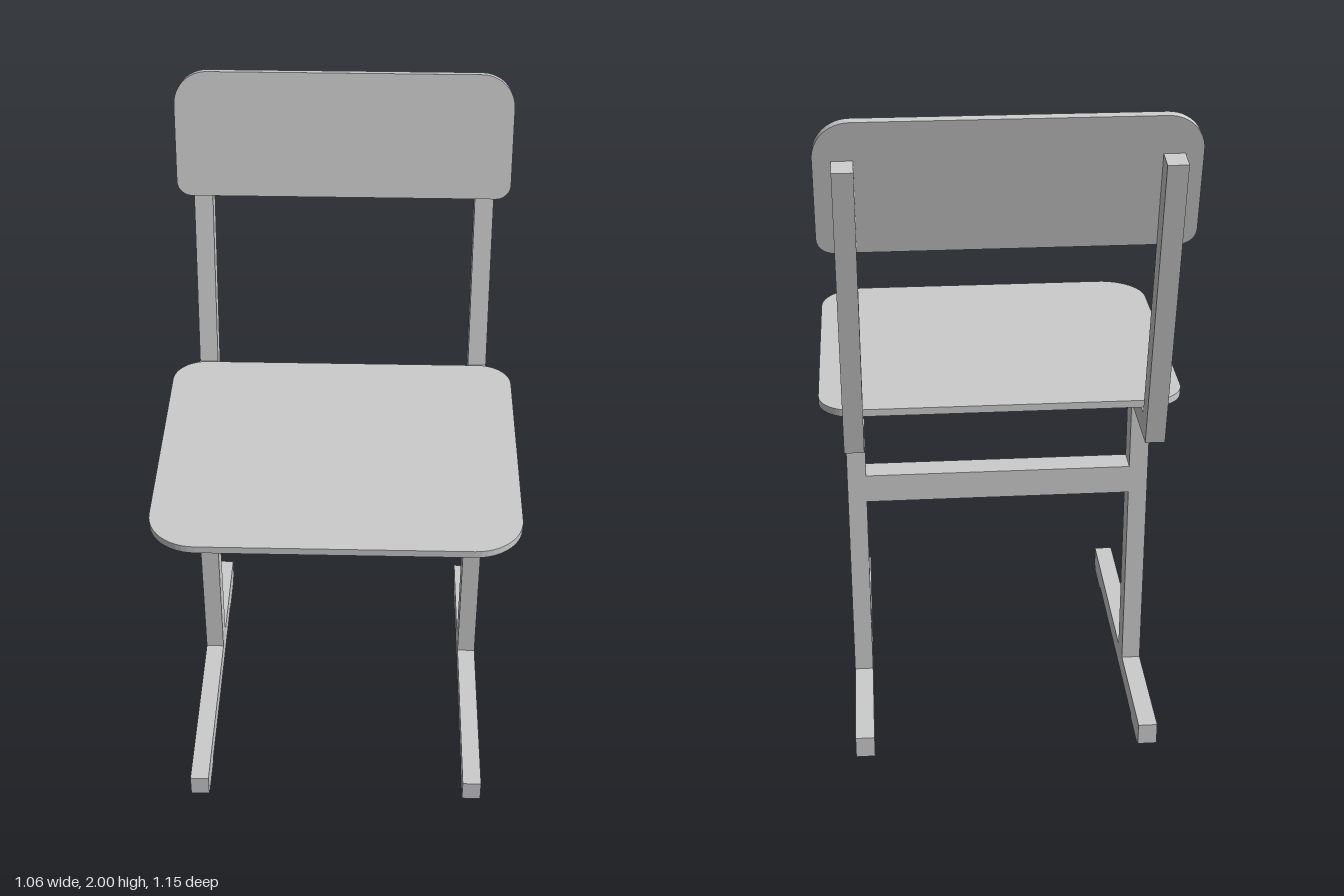
import * as THREE from 'three';

const material = new THREE.MeshStandardMaterial({ color: 0xcccccc, flatShading: true });
const INNER = 0.4, OUTER = 0.457, WIDTH = OUTER - INNER;
const SIDE_X = (INNER + OUTER) / 2;
const LEAN = THREE.MathUtils.degToRad(10);

function part(name, geometry, parent) {
  const mesh = new THREE.Mesh(geometry, material);
  mesh.name = name;
  parent.add(mesh);
  return mesh;
}

// Box given by its limits along each axis
function box(name, [x0, x1], [y0, y1], [z0, z1], parent) {
  const mesh = part(name, new THREE.BoxGeometry(x1 - x0, y1 - y0, z1 - z0), parent);
  mesh.position.set((x0 + x1) / 2, (y0 + y1) / 2, (z0 + z1) / 2);
  return mesh;
}

// Flat board with different radii for its lower and upper corners
function board(halfWidth, y0, y1, rLow, rHigh, depth) {
  const w = halfWidth, q = Math.PI / 2;
  const s = new THREE.Shape();
  s.absarc(w - rLow, y0 + rLow, rLow, -q, 0, false);
  s.absarc(w - rHigh, y1 - rHigh, rHigh, 0, q, false);
  s.absarc(-w + rHigh, y1 - rHigh, rHigh, q, 2 * q, false);
  s.absarc(-w + rLow, y0 + rLow, rLow, 2 * q, 3 * q, false);
  return new THREE.ExtrudeGeometry(s, { depth, bevelEnabled: false, curveSegments: 6 });
}

// One side of the frame, centred on its own x = 0
function sideFrame(name) {
  const side = new THREE.Group();
  side.name = name;
  const x = [-WIDTH / 2, WIDTH / 2];
  box('foot', x, [0.012, 0.08], [-0.518, 0.518], side);
  box('frontPad', x, [0, 0.012], [0.367, 0.5], side);
  box('rearPad', x, [0, 0.012], [-0.5, -0.367], side);
  box('post', x, [0.08, 0.997], [-0.159, -0.08], side);

  // Seat rail and leaning back upright in one bent profile (z, y)
  const profile = new THREE.Shape([
    [0.451, 0.997], [0.451, 1.066], [-0.365, 1.066],
    [-0.51, 1.889], [-0.576, 1.878], [-0.42, 0.997],
  ].map(([z, y]) => new THREE.Vector2(-z, y)));
  const rail = new THREE.ExtrudeGeometry(profile, { depth: WIDTH, bevelEnabled: false });
  rail.translate(0, 0, -WIDTH / 2).rotateY(Math.PI / 2);
  part('railAndUpright', rail, side);
  return side;
}

export function createModel() {
  const chair = new THREE.Group();
  chair.name = 'chair';

  // Mirrored side frames
  for (const s of [-1, 1]) {
    const side = sideFrame(s > 0 ? 'leftFrame' : 'rightFrame');
    side.position.x = s * SIDE_X;
    chair.add(side);
  }
  box('crossbar', [-INNER, INNER], [0.69, 0.779], [-0.159, -0.08], chair);

  // Seat board: the lower edge of the outline becomes the front
  const seat = part('seat', board(0.529, -0.573, 0.33, 0.14, 0.1, 0.022), chair);
  seat.rotation.x = -Math.PI / 2;
  seat.position.y = 1.066;

  // Backrest board, leaning with the uprights
  const thickness = 0.024;
  const back = board(0.506, 0, 0.382, 0.045, 0.1, thickness);
  back.translate(0, 0, -thickness);
  const backrest = part('backrest', back, chair);
  backrest.rotation.x = -LEAN;
  backrest.position.set(0, 1.624, -0.441);

  return chair;
}
